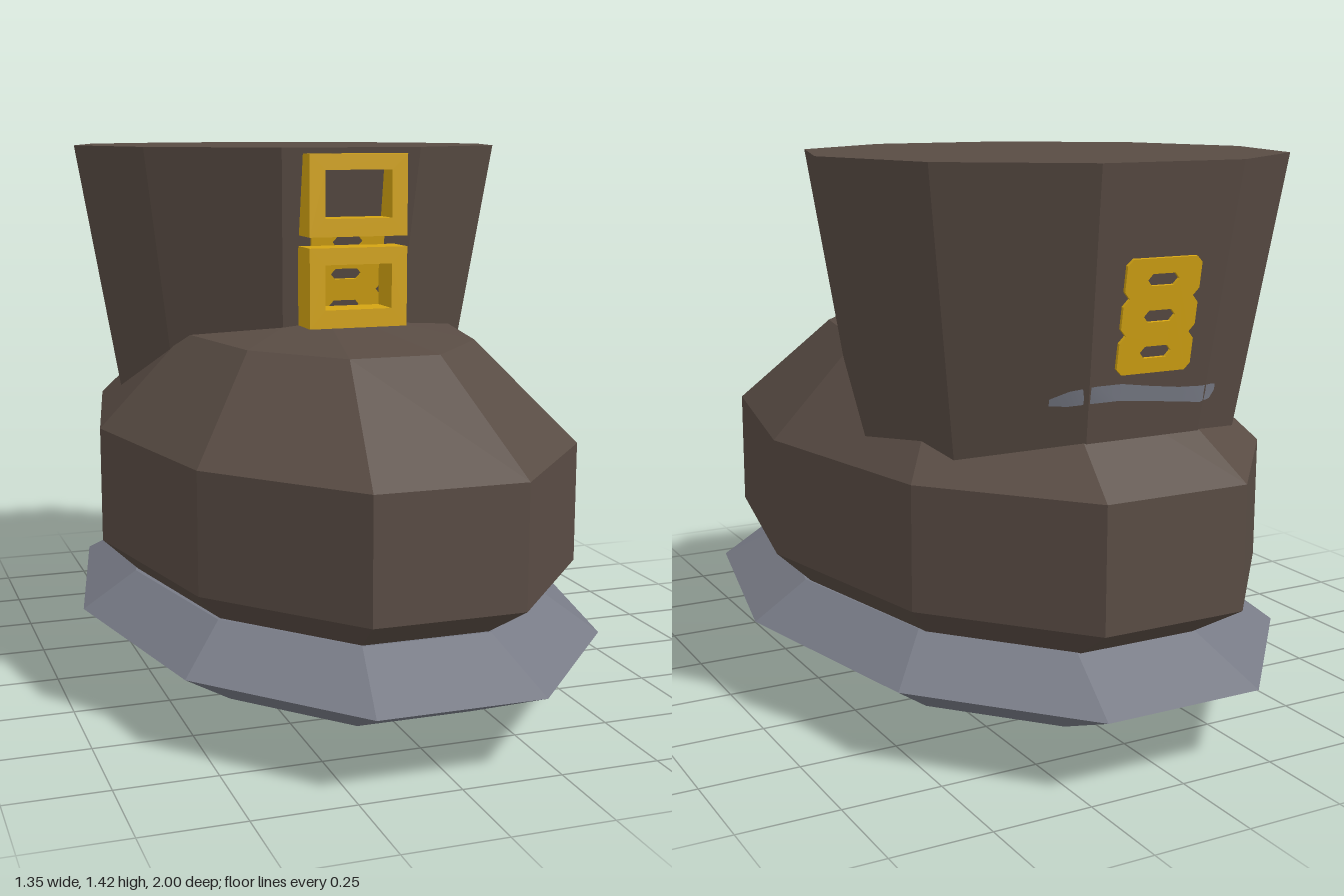
import * as THREE from 'three';

const SHAFT_Z = -0.327;
const shaftRadius = (y) => 0.61 - 0.172 * (1.42 - y);

// Ten-sided faceted solid from a [radius, y] profile, stretched along z
function tenSided(profile, zScale, z) {
  const lathe = new THREE.LatheGeometry(profile.map(([r, y]) => new THREE.Vector2(r, y)), 10);
  lathe.rotateY(Math.PI / 2).scale(1, 1, zScale).translate(0, 0, z);
  const geo = lathe.toNonIndexed();
  geo.computeVertexNormals();
  return geo;
}

// Point just outside the rear faces of the shaft
function rearPoint(x, y) {
  const r = shaftRadius(y);
  const over = Math.max(0, Math.abs(x) - 0.309 * r);
  return [x, y, SHAFT_Z - 0.951 * r + over * 0.726 - 0.006];
}

function rectPath(PathType, w, h, y = 0) {
  const p = new PathType();
  p.moveTo(-w, y - h).lineTo(w, y - h).lineTo(w, y + h).lineTo(-w, y + h).closePath();
  return p;
}

// Rectangular frame with a window
function frameGeometry(height, holeH, holeY) {
  const shape = rectPath(THREE.Shape, 0.132, height / 2);
  shape.holes.push(rectPath(THREE.Path, 0.09, holeH / 2, holeY));
  return new THREE.ExtrudeGeometry(shape, { depth: 0.095, bevelEnabled: false });
}

// Thin scalloped plate with three slots
function plateGeometry() {
  const s = new THREE.Shape();
  const side = [[0.085, -0.135], [0.1, -0.12], [0.1, -0.06], [0.085, -0.043], [0.1, -0.026],
    [0.1, 0.026], [0.085, 0.043], [0.1, 0.06], [0.1, 0.12], [0.085, 0.135]];
  const outline = [...side, ...side.map(([x, y]) => [-x, y]).reverse()];
  s.setFromPoints(outline.map(([x, y]) => new THREE.Vector2(x, y)));
  for (const y of [-0.085, 0, 0.085]) {
    const slot = new THREE.Path();
    slot.setFromPoints([[-0.042, 0], [-0.03, -0.014], [0.03, -0.014], [0.042, 0], [0.03, 0.014], [-0.03, 0.014]]
      .map(([px, py]) => new THREE.Vector2(px, y + py)));
    s.holes.push(slot);
  }
  return new THREE.ExtrudeGeometry(s, { depth: 0.008, bevelEnabled: false });
}

// Curved ribbon lying on the rear faces of the shaft
function ribbonGeometry() {
  const xs = [0.235, 0.2, 0.145, 0.08, 0, -0.08, -0.145, -0.185, -0.21];
  const ys = [0.88, 0.89, 0.9, 0.9, 0.89, 0.88, 0.875, 0.875, 0.88];
  const hs = [0.008, 0.018, 0.02, 0.02, 0.018, 0.018, 0.02, 0.018, 0.008];
  const pos = [], idx = [];
  xs.forEach((x, i) => {
    pos.push(...rearPoint(x, ys[i] - hs[i]), ...rearPoint(x, ys[i] + hs[i]));
    if (i) {
      const a = 2 * i - 2;
      idx.push(a, a + 2, a + 1, a + 1, a + 2, a + 3);
    }
  });
  const geo = new THREE.BufferGeometry();
  geo.setAttribute('position', new THREE.Float32BufferAttribute(pos, 3));
  geo.setIndex(idx);
  geo.computeVertexNormals();
  return geo;
}

export function createModel() {
  const model = new THREE.Group();
  model.name = 'boot';
  const material = (name, color, extra = {}) => {
    const m = new THREE.MeshStandardMaterial({ color, ...extra });
    m.name = name;
    return m;
  };
  const leather = material('brownLeather', 0x594c44);
  const rubber = material('greySole', 0x787b86, { side: THREE.DoubleSide });
  const gold = material('goldMetal', 0xd4a413);
  const add = (name, geo, mat, x = 0, y = 0, z = 0) => {
    const mesh = new THREE.Mesh(geo, mat);
    mesh.name = name;
    mesh.position.set(x, y, z);
    model.add(mesh);
    return mesh;
  };

  // Sole, foot and shaft
  add('sole', tenSided([[0, 0], [0.48, 0.06], [0.675, 0.19], [0.53, 0.285], [0, 0.285]], 1.558, 0), rubber);
  add('foot', tenSided([[0, 0.2], [0.43, 0.2], [0.615, 0.373], [0.615, 0.68], [0.38, 0.925], [0, 0.99]],
    1.602, -0.015), leather);
  add('shaft', tenSided([[0, 0.68], [shaftRadius(0.68), 0.68], [0.61, 1.42], [0, 1.42]], 1, SHAFT_Z), leather);

  // Front buckle: two stacked frames
  add('upperBuckleFrame', frameGeometry(0.208, 0.122, 0.003), gold, 0, 1.301, 0.21);
  add('lowerBuckleFrame', frameGeometry(0.205, 0.115, 0.002), gold, 0, 1.067, 0.21);

  // Slotted plates lying on the front and rear of the shaft
  const lean = Math.atan(0.172 * 0.951);
  const reach = 0.951 * shaftRadius(1.08);
  const front = add('frontStrapPlate', plateGeometry(), gold, 0, 1.095, SHAFT_Z + reach + 0.003);
  front.rotation.x = lean;
  const rear = add('rearStrapPlate', plateGeometry(), gold, 0, 1.075, SHAFT_Z - reach + 0.001);
  rear.rotation.set(lean, Math.PI, 0, 'YXZ');

  add('rearRibbon', ribbonGeometry(), rubber);
  return model;
}
